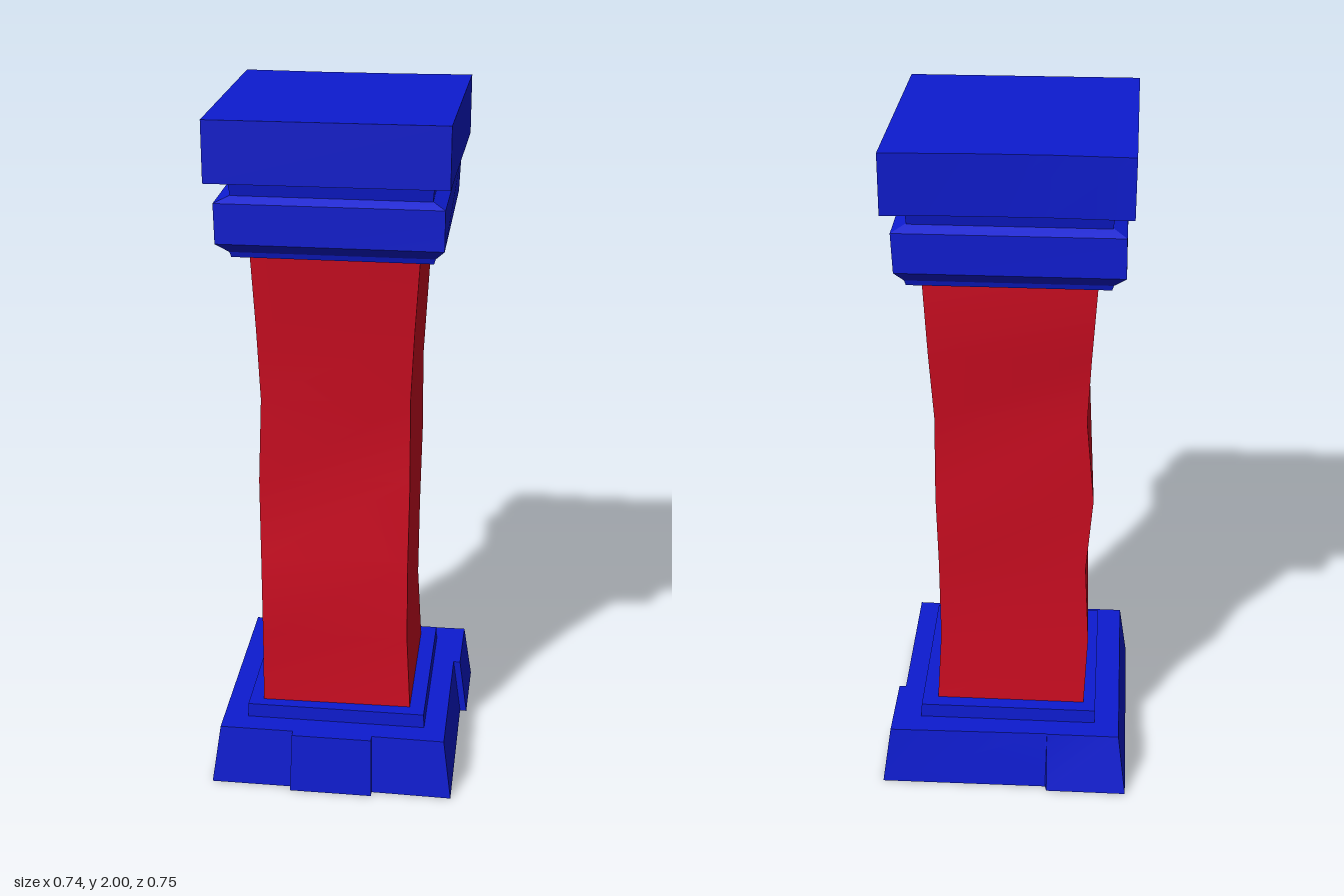
import * as THREE from 'three';
import { toCreasedNormals } from 'three/addons/utils/BufferGeometryUtils.js';

const blue = new THREE.MeshStandardMaterial({ color: 0x0d1bd0 });
const red = new THREE.MeshStandardMaterial({ color: 0xd00d22 });

// Corners of a rectangle, anticlockwise from above, starting front left
const rect = (x0, x1, z0, z1) => [[x0, z1], [x1, z1], [x1, z0], [x0, z0]];

// Closed solid through rings { y, p: [[x, z], ...] } listed from bottom to top
function loft(name, rings, material, crease = 0.15) {
  const pos = [], index = [], n = rings[0].p.length;
  rings.forEach(({ y, p }) => p.forEach(([x, z]) => pos.push(x, y, z)));
  for (let r = 0; r < rings.length - 1; r++) {
    for (let i = 0; i < n; i++) {
      const a = r * n + i, b = r * n + (i + 1) % n;
      index.push(a, b, b + n, a, b + n, a + n);
    }
  }
  const cap = (r, flip) => {
    const contour = rings[r].p.map(([x, z]) => new THREE.Vector2(x, -z));
    for (const [a, b, c] of THREE.ShapeUtils.triangulateShape(contour, [])) {
      const o = r * n;
      index.push(o + a, o + (flip ? c : b), o + (flip ? b : c));
    }
  };
  cap(0, true);
  cap(rings.length - 1, false);
  const g = new THREE.BufferGeometry();
  g.setAttribute('position', new THREE.Float32BufferAttribute(pos, 3));
  g.setIndex(index);
  const mesh = new THREE.Mesh(toCreasedNormals(g, crease), material);
  mesh.name = name;
  return mesh;
}

export function createModel() {
  const group = new THREE.Group();
  group.name = 'stonePillar';

  // Sloping base with a proud block on the front, left and back
  group.add(loft('base', [
    { y: 0, p: [
      [-0.37, 0.353], [-0.132, 0.353], [-0.132, 0.373], [0.11, 0.373], [0.11, 0.353], [0.345, 0.357],
      [0.345, -0.122], [0.365, -0.122], [0.367, -0.358],
      [-0.127, -0.355], [-0.132, -0.374], [-0.37, -0.374]] },
    { y: 0.18, p: [
      [-0.345, 0.33], [-0.128, 0.33], [-0.128, 0.353], [0.107, 0.353], [0.107, 0.33], [0.32, 0.333],
      [0.32, -0.122], [0.34, -0.122], [0.342, -0.333],
      [-0.125, -0.325], [-0.13, -0.327], [-0.345, -0.327]] },
  ], blue));

  // Thin step under the shaft
  group.add(loft('baseStep', [
    { y: 0.17, p: rect(-0.272, 0.257, -0.265, 0.265) },
    { y: 0.222, p: rect(-0.272, 0.254, -0.26, 0.262) },
  ], blue));

  // Worn shaft: front left, front right, back right and back left corners per level
  const shaft = [
    [0.215, -0.23, 0.23, 0.21, 0.223, 0.208, -0.22, -0.236, -0.22],
    [0.45, -0.228, 0.233, 0.197, 0.212, 0.195, -0.21, -0.245, -0.21],
    [0.7, -0.228, 0.234, 0.196, 0.213, 0.197, -0.205, -0.232, -0.206],
    [0.94, -0.232, 0.216, 0.196, 0.177, 0.2, -0.225, -0.25, -0.218],
    [1.19, -0.222, 0.215, 0.195, 0.195, 0.199, -0.21, -0.226, -0.21],
    [1.4, -0.23, 0.222, 0.205, 0.21, 0.208, -0.245, -0.235, -0.235],
    [1.63, -0.24, 0.24, 0.22, 0.235, 0.22, -0.245, -0.248, -0.245],
  ];
  group.add(loft('shaft', shaft.map(([y, ...c]) => ({
    y, p: [0, 2, 4, 6].map((i) => [c[i], c[i + 1]]),
  })), red, 0.6));

  // Lower capital: small lip, bevel, band and sloped top
  group.add(loft('lowerCapital', [
    { y: 1.62, p: rect(-0.283, 0.258, -0.272, 0.272) },
    { y: 1.635, p: rect(-0.287, 0.262, -0.276, 0.276) },
    { y: 1.665, p: rect(-0.32, 0.287, -0.3, 0.308) },
    { y: 1.775, p: [[-0.322, 0.308], [0.287, 0.306], [0.292, -0.297], [-0.318, -0.295]] },
    { y: 1.79, p: rect(-0.283, 0.255, -0.265, 0.28) },
  ], blue));

  // Recessed neck between the two slabs
  group.add(loft('neck', [
    { y: 1.78, p: rect(-0.28, 0.252, -0.265, 0.278) },
    { y: 1.84, p: rect(-0.287, 0.257, -0.275, 0.287) },
  ], blue));

  // Top slab with a slightly hollow back edge
  const slab = [[-0.343, 0.33], [0.3, 0.325], [0.315, -0.322], [0.1, -0.312], [-0.12, -0.31], [-0.336, -0.317]];
  group.add(loft('topSlab', [1.833, 2].map((y) => ({ y, p: slab })), blue));

  return group;
}
